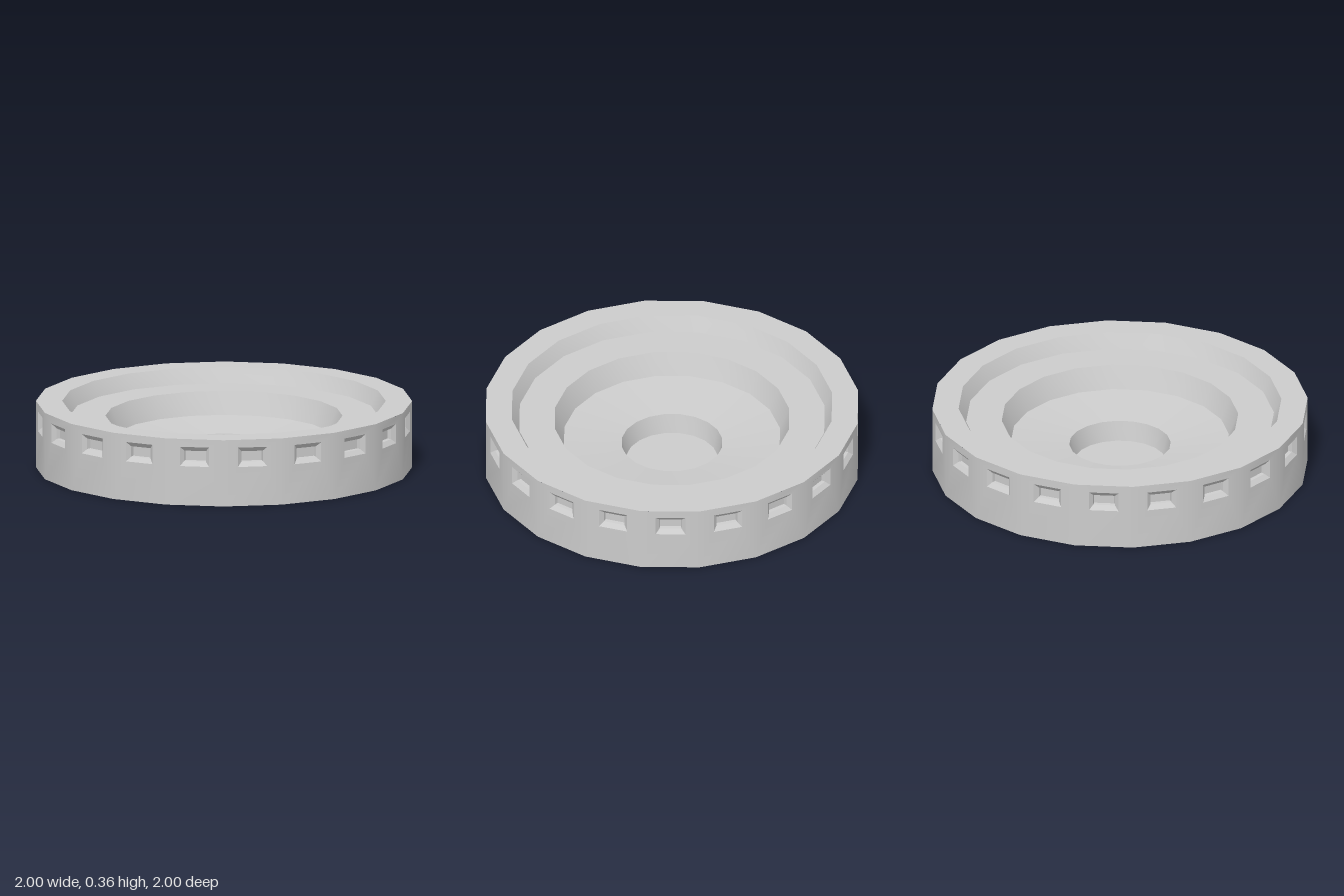
import * as THREE from 'three';
import { toCreasedNormals } from 'three/addons/utils/BufferGeometryUtils.js';

const SIDES = 20;
const HEIGHT = 0.36;
const CREASE = 0.36; // just above the 18 degrees between neighbouring sides

const material = new THREE.MeshStandardMaterial({ color: 0xcccccc });

// Revolved surface with smooth sides and sharp profile edges
function lathe(name, profile) {
  const points = profile.map(([r, y]) => new THREE.Vector2(r, y));
  const geometry = new THREE.LatheGeometry(points, SIDES);
  const mesh = new THREE.Mesh(toCreasedNormals(geometry, CREASE), material);
  mesh.name = name;
  return mesh;
}

// Outer wall: every flat side holds one bevelled, recessed window
function outerWall() {
  const apothem = Math.cos(Math.PI / SIDES);
  // Nested rectangles of one side: half width, bottom, top, depth
  const rings = [
    [Math.sin(Math.PI / SIDES), 0, HEIGHT, 0],
    [0.079, 0.212, 0.317, 0],
    [0.058, 0.236, 0.293, 0.02],
    [0.055, 0.238, 0.291, 0.04],
  ];
  const positions = [];
  const round = (v) => Math.round(v * 1e4) / 1e4;

  for (let i = 0; i < SIDES; i++) {
    const a = ((i + 0.5) / SIDES) * Math.PI * 2;
    const s = Math.sin(a);
    const c = Math.cos(a);
    const place = (u, y, depth) => {
      const d = apothem - depth;
      return [round(s * d + c * u), y, round(c * d - s * u)];
    };
    const corners = rings.map(([w, y0, y1, depth]) => [
      place(-w, y0, depth), place(w, y0, depth),
      place(w, y1, depth), place(-w, y1, depth),
    ]);
    const quad = (p, q, r, t) => positions.push(...p, ...q, ...r, ...p, ...r, ...t);

    for (let n = 0; n < rings.length - 1; n++) {
      for (let k = 0; k < 4; k++) {
        const next = (k + 1) % 4;
        quad(corners[n][k], corners[n][next], corners[n + 1][next], corners[n + 1][k]);
      }
    }
    quad(...corners[rings.length - 1]); // window pane
  }

  const geometry = new THREE.BufferGeometry();
  geometry.setAttribute('position', new THREE.Float32BufferAttribute(positions, 3));
  const mesh = new THREE.Mesh(toCreasedNormals(geometry, CREASE), material);
  mesh.name = 'windowedWall';
  return mesh;
}

export function createModel() {
  const model = new THREE.Group();
  model.name = 'steppedRoundBasin';

  model.add(lathe('underside', [[0, 0], [1, 0]]));
  model.add(outerWall());

  // Rim, ledge, shallow dish and central well
  model.add(lathe('steppedInterior', [
    [1, HEIGHT], [0.86, HEIGHT],
    [0.82, 0.28], [0.63, 0.28],
    [0.58, 0.16], [0.27, 0.125],
    [0.245, 0.02], [0, 0.02],
  ]));

  return model;
}
